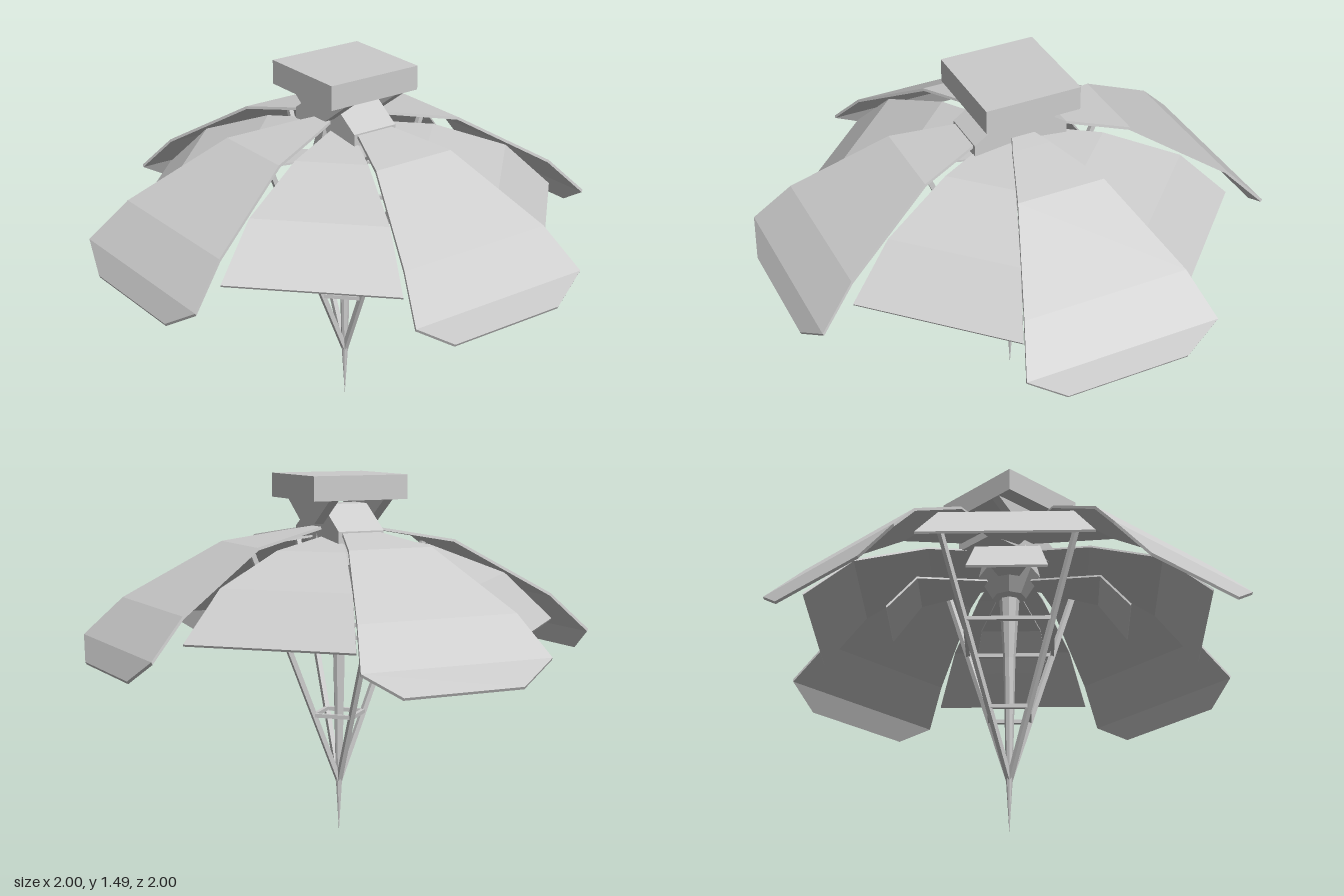
import * as THREE from 'three';

const grey = new THREE.MeshStandardMaterial({ color: 0xcccccc, flatShading: true, side: THREE.DoubleSide });

function add(group, geometry, name) {
  const mesh = new THREE.Mesh(geometry, grey);
  mesh.name = name;
  group.add(mesh);
  return mesh;
}

// Thin bent leaf running outwards along +z; rows are [radius, height, half width]
function leafGeometry(rows, t) {
  const sections = rows.map(([r, y, w]) => [[-w, y, r], [w, y, r], [w, y - t, r - t * 0.5], [-w, y - t, r - t * 0.5]]);
  const pos = [];
  const quad = (a, b, c, d) => pos.push(...a, ...b, ...c, ...a, ...c, ...d);
  for (let i = 0; i + 1 < sections.length; i++) {
    const s = sections[i], e = sections[i + 1];
    for (let k = 0; k < 4; k++) quad(s[k], e[k], e[(k + 1) % 4], s[(k + 1) % 4]);
  }
  quad(...sections[0]);
  quad(...sections[sections.length - 1].slice().reverse());
  const g = new THREE.BufferGeometry();
  g.setAttribute('position', new THREE.Float32BufferAttribute(pos, 3));
  g.computeVertexNormals();
  return g;
}

// Four leaves around the centre
function leafRing(group, rows, t, startAngle, name) {
  const g = leafGeometry(rows, t);
  for (let i = 0; i < 4; i++) add(group, g, name).rotation.y = startAngle + i * Math.PI / 2;
}

// Square bar between two points
function bar(group, a, b, size, name) {
  const mesh = add(group, new THREE.BoxGeometry(size, size, a.distanceTo(b)), name);
  mesh.position.copy(a).lerp(b, 0.5);
  mesh.lookAt(b);
}

// Prism with its outline in x and y, centred on a given z
function prism(group, points, depth, z, name) {
  const shape = new THREE.Shape(points.map(([x, y]) => new THREE.Vector2(x, y)));
  const mesh = add(group, new THREE.ExtrudeGeometry(shape, { depth, bevelEnabled: false }), name);
  mesh.position.z = z - depth / 2;
}

export function createModel() {
  const model = new THREE.Group();
  model.name = 'canopy';

  // Outer leaves on the axes, lower leaves on the diagonals, small ones inside
  leafRing(model, [[0.1, 1.28, 0.04], [0.19, 1.265, 0.08], [0.44, 1.22, 0.18], [0.81, 0.995, 0.335],
    [0.957, 0.845, 0.397], [1, 0.755, 0.25]], 0.01, 0, 'mainLeaf');
  leafRing(model, [[0.05, 1.25, 0.02], [0.19, 1.226, 0.079], [0.34, 1.202, 0.141], [0.63, 1.082, 0.261],
    [0.815, 0.892, 0.334]], 0.008, Math.PI / 4, 'diagonalLeaf');
  leafRing(model, [[0.08, 1.1, 0.04], [0.38, 1.07, 0.13], [0.5, 0.92, 0.16]], 0.008, Math.PI / 4, 'innerLeaf');

  // Central shaft with spike and flared hub
  const profile = [[0, 0], [0.014, 0.23], [0.025, 0.75], [0.042, 1.02], [0.07, 1.03], [0.13, 1.13], [0.1, 1.25], [0, 1.25]];
  add(model, new THREE.LatheGeometry(profile.map(([x, y]) => new THREE.Vector2(x, y)), 8), 'shaft');

  // Struts from the spike to the main leaves, braced by square rings of rungs
  const onStrut = (i, y) => {
    const r = (y - 0.22) * 0.4, a = i * Math.PI / 2;
    return new THREE.Vector3(r * Math.sin(a), y, r * Math.cos(a));
  };
  for (let i = 0; i < 4; i++) {
    bar(model, onStrut(i, 0.22), onStrut(i, 1.2), 0.02, 'strut');
    for (const y of [0.505, 0.85]) bar(model, onStrut(i, y), onStrut(i + 1, y), 0.016, 'rung');
  }

  // Crown: sloped base, two flaring brackets and the top block
  prism(model, [[-0.197, 1.22], [0.197, 1.22], [0.197, 1.27], [0.05, 1.37], [-0.05, 1.37], [-0.197, 1.27]], 0.2, 0, 'crownBase');
  for (const z of [-0.12, 0.12])
    prism(model, [[-0.06, 1.293], [0.06, 1.293], [0.197, 1.392], [-0.197, 1.392]], 0.04, z, 'crownBracket');
  add(model, new THREE.BoxGeometry(0.394, 0.098, 0.414), 'topBlock').position.y = 1.44;

  return model;
}
